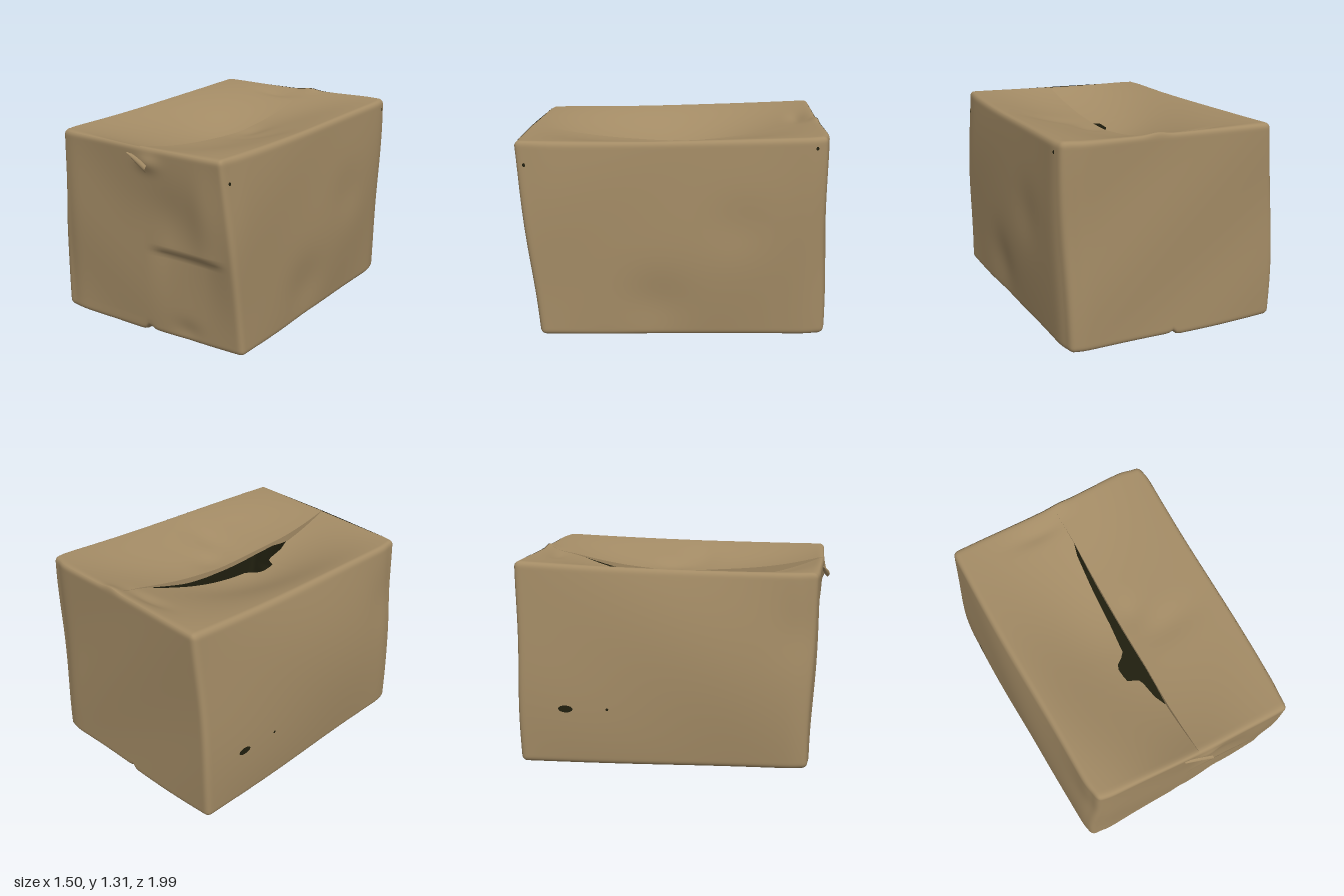
import * as THREE from 'three';
import { mergeVertices } from 'three/addons/utils/BufferGeometryUtils.js';

const SEG = 72;
const ROUND = [0.05, 0.055, 0.04];

// Corners of the sagging box, keyed by the signs of x, y and z
const CORNERS = {
  '---': [-0.715, 0.02, -0.985], '+--': [0.71, 0.02, -0.975],
  '--+': [-0.725, 0.03, 0.86], '+-+': [0.705, 0.03, 0.85],
  '-+-': [-0.645, 1.31, -1.0], '++-': [0.745, 1.315, -0.95],
  '-++': [-0.675, 1.265, 0.89], '+++': [0.645, 1.275, 0.985],
};

// Soft dents: centre, radii, push
const DENTS = [
  [[0.70, 1.27, 0.97], [0.06, 0.5, 0.12], [-0.02, 0, -0.005]],
  [[0.22, 0.85, 0.93], [0.2, 0.2, 0.2], [0, 0, -0.015]],
  [[0.48, 0.9, 0.95], [0.1, 0.25, 0.2], [0, 0, 0.012]],
  [[0.08, 1.17, 0.95], [0.08, 0.05, 0.2], [0, 0, 0.02]],
  [[0.72, 0.25, 0.12], [0.2, 0.2, 0.22], [-0.022, 0, 0]],
  [[0.72, 0.75, -0.4], [0.2, 0.18, 0.2], [-0.012, 0, 0]],
  [[0.3, 0.1, 0.85], [0.1, 0.07, 0.1], [0, 0, -0.012]],
  [[0, 0.03, 0.85], [0.03, 0.04, 0.2], [0, 0.008, -0.01]],
  [[0.12, 1.31, -0.97], [0.07, 0.03, 0.06], [0, 0.015, 0]],
  [[0.72, 0.65, -0.96], [0.09, 3, 0.09], [-0.024, 0, 0.024]],
  [[-0.70, 0.65, 0.87], [0.09, 3, 0.09], [0.022, 0, -0.018]],
  [[-0.1, 1.29, -0.85], [0.16, 0.1, 0.05], [0, -0.02, 0]],
  [[-0.7, 0.9, 0.75], [0.2, 0.2, 0.15], [0.012, 0, 0]],
  [[0.3, 1.25, 0.1], [0.2, 0.2, 0.1], [0, -0.015, 0]],
  [[0.16, 1.2, -0.08], [0.1, 0.15, 0.12], [0, -0.018, 0]],
];

const lerp = THREE.MathUtils.lerp;
const smoothstep = THREE.MathUtils.smoothstep;
const ease = t => Math.sign(t) * (1 - Math.pow(1 - Math.min(1, Math.abs(t)), 1.3));

// Piecewise linear curve through [position, value] points
function curve(points, t) {
  for (let i = 1; i < points.length; i++) {
    const [a, va] = points[i - 1], [b, vb] = points[i];
    if (t <= b) return lerp(va, vb, Math.max(0, (t - a) / (b - a)));
  }
  return points[points.length - 1][1];
}

// Maps a point of the unit cube to the battered box
function warp(c, sag = 0) {
  const inner = c.map((v, i) => THREE.MathUtils.clamp(v, -1 + ROUND[i], 1 - ROUND[i]));
  const off = c.map((v, i) => (v - inner[i]) / ROUND[i]);
  const len = Math.hypot(...off);
  const k = len > 0 ? Math.max(...off.map(Math.abs)) / len : 0;
  const [u, v, w] = inner.map((q, i) => q + off[i] * k * ROUND[i]);

  const p = [0, 0, 0];
  for (const key in CORNERS) {
    const f = [u, v, w].reduce((m, q, i) => m * (key[i] === '+' ? 1 + q : 1 - q) / 2, 1);
    CORNERS[key].forEach((q, i) => { p[i] += q * f; });
  }
  // Bulging side walls, slightly bowed top edges and sagging lid
  p[0] += u * (u < 0 ? 0.055 : 0.032) * (1 - v * v) * (1 - w * w * 0.7);
  p[1] -= 0.005 * (1 + v) * (1 - w * w);
  p[1] -= sag * Math.pow(Math.max(0, Math.cos(u * Math.PI / 2)), 1.4) * (1 - w * w);
  // Bottom seam: a fine groove with one flap slightly lower
  if (v < -0.9) {
    p[1] += 0.014 * Math.exp(-((u / 0.03) ** 2)) - 0.014 * (1 - smoothstep(u, -0.05, 0)) * (1 - u * u);
  }
  // Horizontal fold on the front: a ledge with a drop below it
  if (w > 0.9) {
    const h = p[1] - 0.61;
    const along = smoothstep(p[0], 0, 0.2) * (1 - smoothstep(p[0], 0.45, 0.65));
    const below = (1 - smoothstep(h, -0.025, 0.025));
    p[2] += along * lerp(0.016 * Math.exp(-Math.abs(h) / 0.12), -0.02 * Math.exp(-Math.abs(h) / 0.22), below);
  }
  for (const [at, rad, push] of DENTS) {
    const d = at.reduce((s, q, i) => s + ((p[i] - q) / rad[i]) ** 2, 0);
    const g = Math.exp(-d);
    push.forEach((q, i) => { p[i] += q * g; });
  }
  // Gentle paper waviness
  const [x, y, z] = p;
  p[0] += 0.005 * Math.sin(5 * y + 4 * z) * Math.abs(u);
  p[2] += 0.005 * Math.sin(5 * x + 6 * y) * Math.abs(w);
  if (v > 0) p[1] += 0.005 * Math.sin(6 * x + 5 * z) * (1 - u * u) * (1 - w * w);
  return p;
}

function deform(geo, rule) {
  const pos = geo.attributes.position;
  for (let i = 0; i < pos.count; i++) {
    pos.setXYZ(i, ...rule(pos.getX(i), pos.getY(i), pos.getZ(i)));
  }
  geo.deleteAttribute('uv');
  geo.deleteAttribute('normal');
  const out = mergeVertices(geo, 1e-5);
  out.computeVertexNormals();
  return out;
}

// Four walls and the bottom, with the top side left out
function wallsGeometry() {
  const geo = new THREE.BoxGeometry(2, 2, 2, SEG, SEG, SEG);
  const top = geo.groups[2];
  const index = Array.from(geo.index.array).filter((_, i) => i < top.start || i >= top.start + top.count);
  geo.setIndex(index);
  geo.clearGroups();
  return deform(geo, (x, y, z) => warp([ease(x), ease(y), ease(z)]));
}

// Edges of the two lid flaps along the slit; the lower left one has a torn notch and tucks under at both ends
const RIGHT_EDGE = [[-1, 0.04], [-0.7, 0.06], [0.3, 0.06], [0.6, 0.045], [1, 0.05]];
const LEFT_EDGE = [[-1, 0.04], [-0.9, 0.06], [-0.72, 0.065], [-0.62, 0.03], [-0.4, 0.01], [-0.1, -0.005], [0.12, -0.035],
  [0.15, -0.09], [0.19, -0.16], [0.31, -0.15], [0.35, -0.03], [0.5, 0], [0.6, 0.055], [0.9, 0.06], [1, 0.05]];
const RIGHT_SAG = 0.125;
const leftSag = w => RIGHT_SAG + 0.08 * smoothstep(w, -1.1, 0.1);

// How much of the step between the flaps the turned-down lip covers
const LIP_DROP = [[-1, 1], [-0.72, 1], [-0.4, 0.85], [-0.1, 0.4], [0.45, 0.4], [0.62, 1.05], [1, 1.05]];

function flapGeometry(side) {
  const geo = new THREE.PlaneGeometry(2, 2, SEG, SEG).rotateX(-Math.PI / 2);
  return deform(geo, (x, y, z) => {
    const w = ease(z), t = (ease(x) + 1) / 2;
    return side < 0
      ? warp([lerp(-1, curve(LEFT_EDGE, w), t), 1, w], leftSag(w))
      : warp([lerp(curve(RIGHT_EDGE, w), 1, t), 1, w], RIGHT_SAG);
  });
}

// Small holes in the side walls: side, height, depth, half height, half depth
const PUNCTURES = [
  [-1, -0.42, -0.665, 0.036, 0.05], [-1, -0.41, -0.38, 0.014, 0.01],
  [1, 0.77, 0.95, 0.018, 0.01], [1, 0.9, -0.91, 0.018, 0.011],
];

export function createModel() {
  const group = new THREE.Group();
  const material = (name, color, side) => {
    const mat = new THREE.MeshStandardMaterial({ color, side });
    mat.name = name;
    return mat;
  };
  const cardboard = material('cardboard', 0xa38b65, THREE.DoubleSide);
  const outside = material('cardboardOutside', 0xa38b65, THREE.FrontSide);
  const shade = material('darkInterior', 0x201f0f, THREE.BackSide);
  const hole = material('darkHole', 0x201f0f, THREE.DoubleSide);

  const add = (name, geo, mat) => {
    const mesh = new THREE.Mesh(geo, mat);
    mesh.name = name;
    group.add(mesh);
  };

  const walls = wallsGeometry();
  add('walls', walls, outside);
  add('interior', walls, shade);
  add('leftLidFlap', flapGeometry(-1), cardboard);
  add('rightLidFlap', flapGeometry(1), cardboard);

  // Turned-down edge of the higher lid flap
  const lip = deform(new THREE.PlaneGeometry(2, 2, SEG, 2), (x, y) => {
    const w = ease(x);
    const p = warp([curve(RIGHT_EDGE, w), 1, w], RIGHT_SAG);
    const drop = curve(LIP_DROP, w) * (leftSag(w) - RIGHT_SAG) * (1 - w * w);
    return [p[0], p[1] - drop * (1 - y) / 2, p[2]];
  });
  add('lidFlapLip', lip, cardboard);

  // Small torn tongue curling off the upper front
  const tongue = deform(new THREE.PlaneGeometry(2, 2, 10, 6), (x, y) => {
    const t = (x + 1) / 2;
    const half = 0.004 + 0.034 * t * (1.6 - t);
    return [-0.08 + 0.18 * t, 1.21 - 0.07 * t + y * half, 0.925 + 0.05 * t + 0.015 * (1 - y * y)];
  });
  add('tornTongue', tongue, cardboard);

  for (const [side, v, w, rv, rw] of PUNCTURES) {
    const spot = deform(new THREE.CircleGeometry(1, 16), (x, y) => {
      const p = warp([side, v + y * rv, w + x * rw]);
      return [p[0] + side * 0.004, p[1], p[2]];
    });
    add('puncture', spot, hole);
  }

  return group;
}
